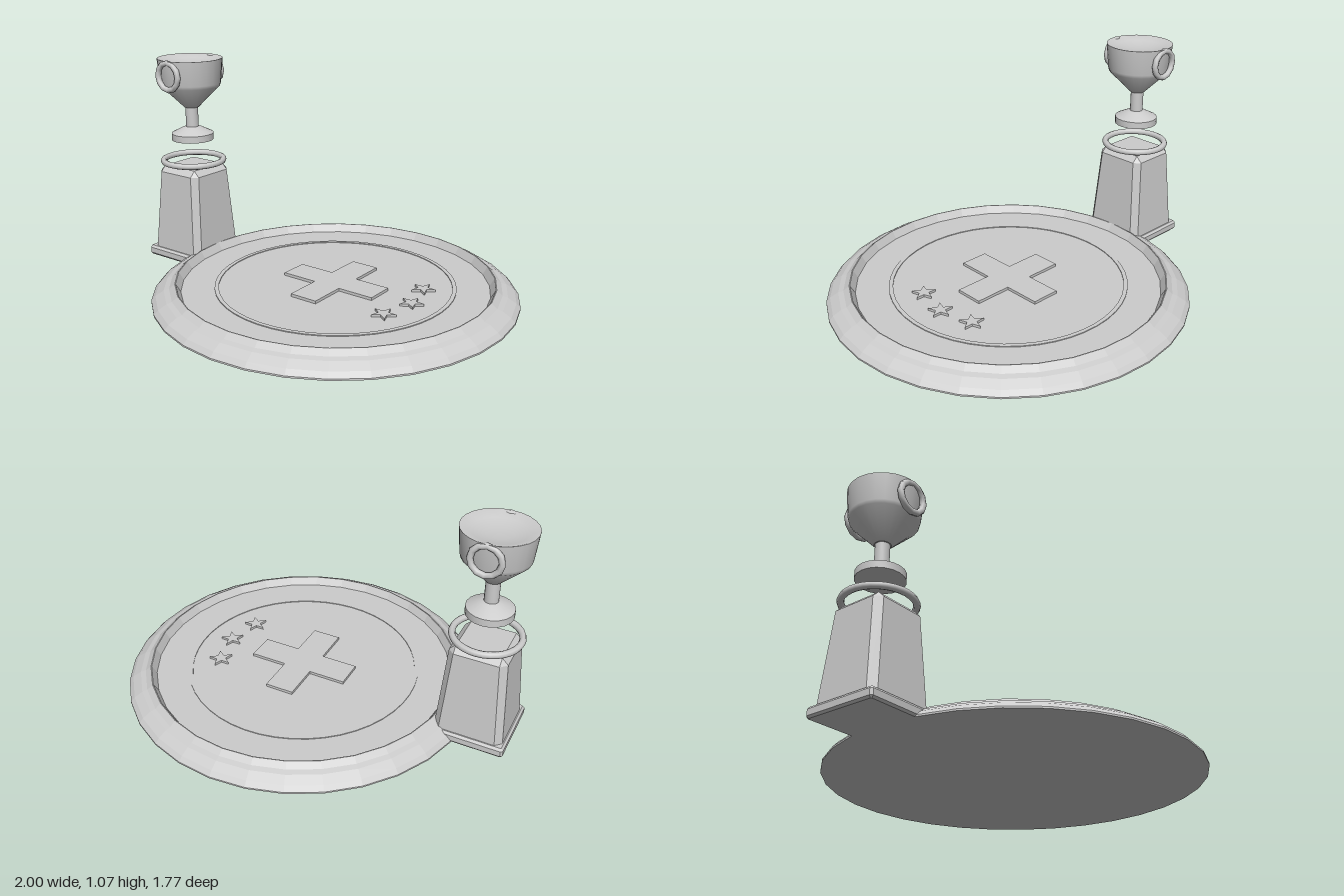
import * as THREE from 'three';
import { toCreasedNormals } from 'three/addons/utils/BufferGeometryUtils.js';

const grey = new THREE.MeshStandardMaterial({ color: 0xcccccc });
grey.name = 'plain grey';

const CUP_X = -0.82;
const DISC_X = 0.11;
const FLOOR_Y = 0.045;

function flat(geometry) {
  const g = geometry.index ? geometry.toNonIndexed() : geometry;
  g.computeVertexNormals();
  return g;
}

function addPart(parent, name, geometry, x = 0, y = 0, z = 0) {
  const mesh = new THREE.Mesh(geometry, grey);
  mesh.name = name;
  mesh.position.set(x, y, z);
  parent.add(mesh);
  return mesh;
}

function lathe(points, segments) {
  return new THREE.LatheGeometry(points.map(([r, y]) => new THREE.Vector2(r, y)), segments);
}

// Square solid with cut corners, lofted through [height, half width, corner cut]
function cutCornerLoft(sections) {
  const pos = [];
  const index = [];
  for (const [y, h, c] of sections) {
    const k = h - c;
    const ring = [[h, k], [k, h], [-k, h], [-h, k], [-h, -k], [-k, -h], [k, -h], [h, -k]];
    for (const [x, w] of ring) pos.push(x, y, -w);
  }
  const last = (sections.length - 1) * 8;
  for (let s = 0; s < last; s += 8) {
    for (let i = 0; i < 8; i++) {
      const j = (i + 1) % 8;
      index.push(s + i, s + j, s + 8 + j, s + i, s + 8 + j, s + 8 + i);
    }
  }
  for (let i = 1; i < 7; i++) {
    index.push(0, i + 1, i, last, last + i, last + i + 1);
  }
  const g = new THREE.BufferGeometry();
  g.setAttribute('position', new THREE.Float32BufferAttribute(pos, 3));
  g.setIndex(index);
  return flat(g);
}

// Flat emblem lying on the floor
function emblem(points, depth) {
  const shape = new THREE.Shape(points.map(([x, y]) => new THREE.Vector2(x, y)));
  return new THREE.ExtrudeGeometry(shape, { depth, bevelEnabled: false }).rotateX(-Math.PI / 2);
}

function createArena() {
  const arena = new THREE.Group();
  arena.name = 'arena';
  arena.position.x = DISC_X;

  // Round platform with a raised rim and sunken floor
  addPart(arena, 'platform', flat(lathe([
    [0, 0], [0.885, 0], [0.885, 0.008], [0.865, 0.03], [0.825, 0.055], [0.8, 0.062],
    [0.772, 0.085], [0.768, 0.085], [0.745, FLOOR_Y], [0, FLOOR_Y],
  ], 32)));

  // Thin circle on the floor
  addPart(arena, 'floorRing', flat(lathe([
    [0.585, FLOOR_Y - 0.005], [0.585, FLOOR_Y + 0.004],
    [0.565, FLOOR_Y + 0.004], [0.565, FLOOR_Y - 0.005],
  ], 48)));

  // Cross in the middle
  const a = 0.072;
  const b = 0.258;
  addPart(arena, 'floorCross', emblem([
    [a, -b], [a, -a], [b, -a], [b, a], [a, a], [a, b],
    [-a, b], [-a, a], [-b, a], [-b, -a], [-a, -a], [-a, -b],
  ], 0.014), 0, FLOOR_Y, 0);

  // Three stars in an arc
  const star = [];
  for (let i = 0; i < 10; i++) {
    const r = i % 2 ? 0.024 : 0.059;
    const t = Math.PI / 2 + (i * Math.PI) / 5;
    star.push([r * Math.cos(t), r * Math.sin(t)]);
  }
  const starGeometry = emblem(star, 0.012);
  for (const [x, z] of [[0.39, -0.175], [0.43, 0], [0.39, 0.175]]) {
    addPart(arena, 'floorStar', starGeometry, x, FLOOR_Y, z);
  }
  return arena;
}

function createPedestal() {
  const pedestal = new THREE.Group();
  pedestal.name = 'pedestal';
  pedestal.position.x = CUP_X;
  addPart(pedestal, 'pedestalBase', cutCornerLoft([
    [0, 0.172, 0.004], [0.01, 0.18, 0.01], [0.038, 0.18, 0.01], [0.05, 0.17, 0.004],
  ]));
  addPart(pedestal, 'pedestalColumn', cutCornerLoft([
    [0.03, 0.166, 0.03], [0.465, 0.136, 0.03], [0.495, 0.106, 0],
  ]));
  // Floating ring above the column
  const ring = new THREE.TorusGeometry(0.157, 0.016, 8, 32).rotateX(Math.PI / 2);
  addPart(pedestal, 'floatingRing', ring, 0, 0.52, 0);
  return pedestal;
}

function createCup() {
  const cup = new THREE.Group();
  cup.name = 'trophyCup';
  cup.position.x = CUP_X;

  // Foot and stem
  addPart(cup, 'cupFoot', toCreasedNormals(lathe([
    [0, 0.632], [0.11, 0.632], [0.11, 0.667], [0.05, 0.697], [0.033, 0.702], [0.033, 0.815],
  ], 20), 0.5));

  // Bowl with a shallow hollow top
  addPart(cup, 'cupBowl', toCreasedNormals(lathe([
    [0, 0.805], [0.038, 0.805], [0.152, 0.918], [0.157, 0.935], [0.169, 1.062],
    [0.164, 1.062], [0.12, 1.045], [0.06, 1.035], [0, 1.032],
  ], 24), 0.6));

  // Round frames on the front and back of the bowl
  const frame = new THREE.TorusGeometry(0.069, 0.015, 8, 12);
  for (const side of [1, -1]) {
    addPart(cup, side > 0 ? 'frontMedallion' : 'backMedallion', frame, 0, 0.983, side * 0.16);
  }
  return cup;
}

export function createModel() {
  const model = new THREE.Group();
  model.name = 'trophyArena';
  model.add(createArena(), createPedestal(), createCup());
  return model;
}
